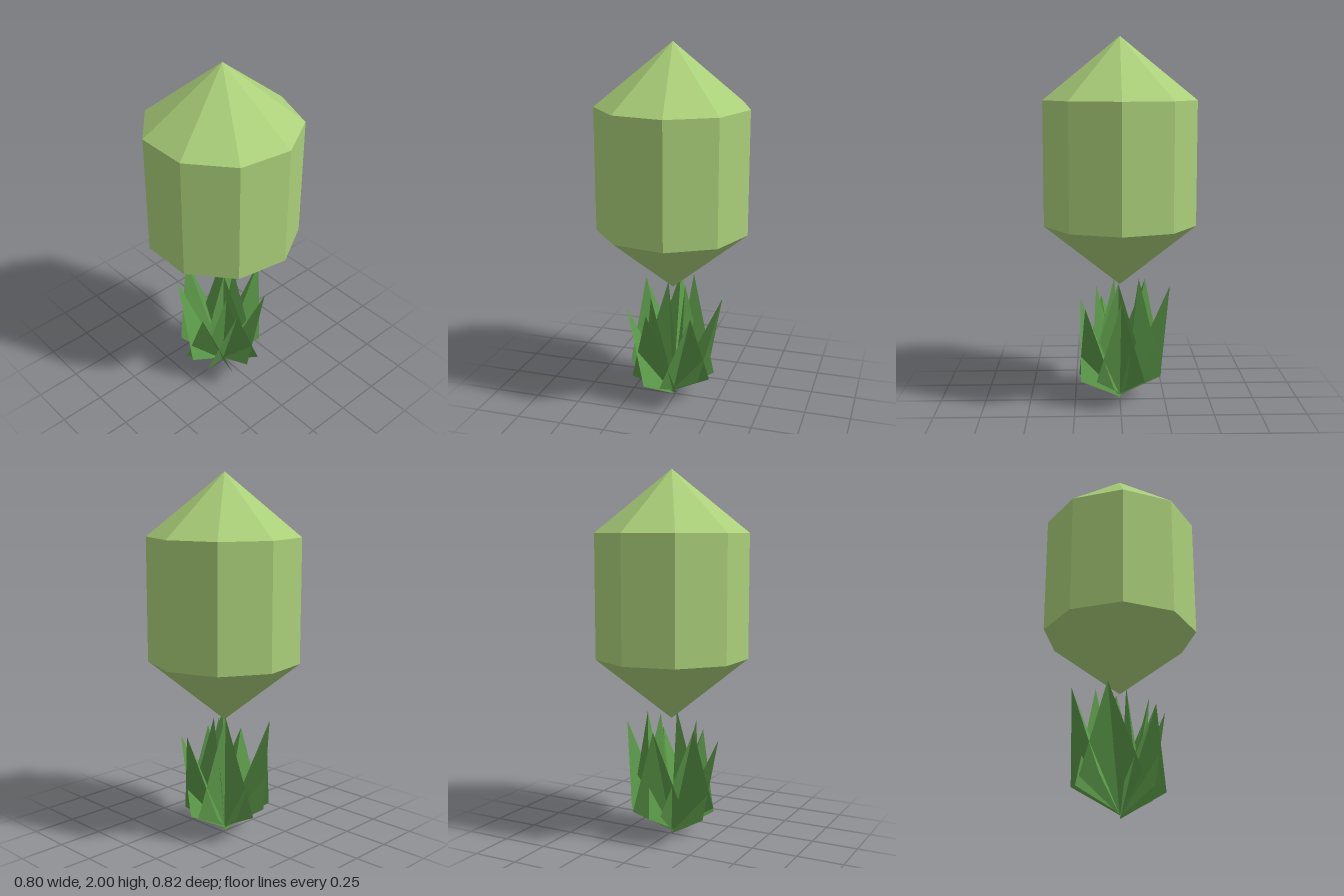
import * as THREE from 'three';

const bulbGreen = new THREE.MeshStandardMaterial({ color: 0xaacf79 });
bulbGreen.name = 'pale green';
bulbGreen.flatShading = true;
const leafGreen = new THREE.MeshStandardMaterial({ color: 0x5c9a49, side: THREE.DoubleSide });
leafGreen.name = 'leaf green';
leafGreen.flatShading = true;

const CX = -0.013; // plant axis

// Kite-shaped blade creased from root to tip, with two outer side corners
function leaf(tip, reach, cornerY, halfWidth, rootY) {
  const angle = Math.atan2(tip[2], tip[0] - CX);
  const c = Math.cos(angle), s = Math.sin(angle);
  const at = (r, y, w) => [CX + r * c - w * s, y, r * s + w * c];
  const root = at(0, rootY, 0);
  const left = at(reach, cornerY, -halfWidth);
  const right = at(reach, cornerY, halfWidth);
  const geometry = new THREE.BufferGeometry();
  geometry.setAttribute('position',
    new THREE.Float32BufferAttribute([root, left, tip, root, tip, right].flat(), 3));
  geometry.computeVertexNormals();
  return new THREE.Mesh(geometry, leafGreen);
}

export function createModel() {
  const model = new THREE.Group();
  model.name = 'plant';

  // Nine-sided bulb with pointed ends
  const profile = [[0, 0.66], [0.415, 0.996], [0.415, 1.666], [0, 2]].map(p => new THREE.Vector2(...p));
  const bulbGeometry = new THREE.LatheGeometry(profile, 9, Math.PI / 2).toNonIndexed();
  bulbGeometry.computeVertexNormals();
  const bulb = new THREE.Mesh(bulbGeometry, bulbGreen);
  bulb.name = 'bulb';
  bulb.position.x = CX;
  model.add(bulb);

  // Leaves: tip, corner reach, corner height, half width, root height
  const leaves = new THREE.Group();
  leaves.name = 'leaves';
  [
    [[0.27, 0.62, 0], 0.18, 0.16, 0.13, 0.03],
    [[0.14, 0.56, 0.19], 0.17, 0.14, 0.15, 0.02],
    [[-0.1, 0.56, 0.22], 0.17, 0.13, 0.16, 0.01],
    [[-0.25, 0.54, 0.1], 0.18, 0.13, 0.15, 0],
    [[-0.22, 0.64, -0.15], 0.19, 0.18, 0.16, 0.02],
    [[-0.05, 0.64, -0.28], 0.2, 0.17, 0.15, 0.02],
    [[0.08, 0.71, -0.1], 0.18, 0.15, 0.15, 0.03],
    // inner leaves
    [[0.06, 0.68, 0.01], 0.1, 0.36, 0.1, 0.04],
    [[-0.03, 0.7, 0.03], 0.08, 0.34, 0.1, 0.04],
    [[-0.1, 0.63, 0.13], 0.12, 0.3, 0.09, 0.04],
  ].forEach((spec, i) => {
    const blade = leaf(...spec);
    blade.name = i < 7 ? 'outerLeaf' : 'innerLeaf';
    leaves.add(blade);
  });
  model.add(leaves);
  return model;
}
